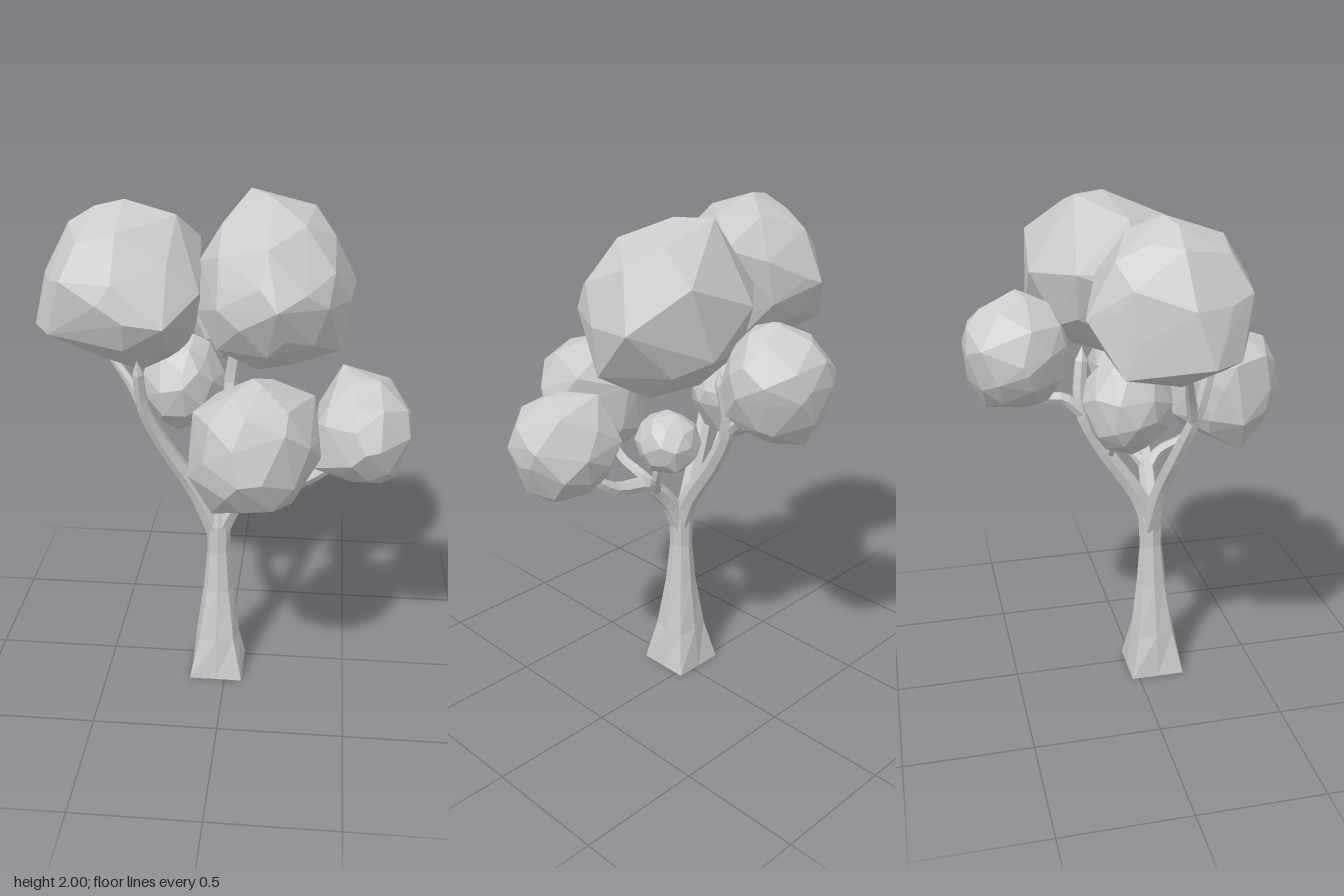
import * as THREE from 'three';
import { ConvexGeometry } from 'three/addons/geometries/ConvexGeometry.js';

const material = new THREE.MeshStandardMaterial({ color: 0xcccccc, flatShading: true });

function seeded(seed) {
  let s = seed;
  return () => (s = (s * 16807) % 2147483647) / 2147483647;
}

function addMesh(parent, name, geometry) {
  const flat = geometry.index ? geometry.toNonIndexed() : geometry;
  flat.computeVertexNormals();
  const mesh = new THREE.Mesh(flat, material);
  mesh.name = name;
  parent.add(mesh);
}

// Faceted leaf clump: hull of a jittered ellipsoid and a few jutting corners
function clumpGeometry(center, half, seed, corners) {
  const rand = seeded(seed * 7919 + 13);
  const pos = new THREE.IcosahedronGeometry(1, 1).getAttribute('position');
  const unique = new Map();
  for (let i = 0; i < pos.count; i++) {
    const p = new THREE.Vector3().fromBufferAttribute(pos, i);
    unique.set(p.toArray().map((v) => Math.round(v * 100)).join(), p);
  }
  const spin = new THREE.Euler(rand() * 6, rand() * 6, rand() * 6);
  const points = [...unique.values()].map((p) => {
    const jitter = new THREE.Vector3(rand() - 0.5, rand() - 0.5, rand() - 0.5);
    return p.addScaledVector(jitter, 0.35).normalize()
      .multiplyScalar(0.96 + 0.08 * rand()).applyEuler(spin);
  });
  const box = new THREE.Box3().setFromPoints(points);
  const mid = box.getCenter(new THREE.Vector3());
  const fit = new THREE.Vector3(...half).multiplyScalar(2).divide(box.getSize(new THREE.Vector3()));
  for (const p of points) p.sub(mid).multiply(fit).add(new THREE.Vector3(...center));
  return new ConvexGeometry([...points, ...corners.map((c) => new THREE.Vector3(...c))]);
}

// Six-sided limb that tapers along a smooth path and closes at its tip
function limbGeometry(points, r0, r1) {
  const curve = new THREE.CatmullRomCurve3(points.map((p) => new THREE.Vector3(...p)));
  const steps = points.length * 3, sides = 6;
  const geometry = new THREE.TubeGeometry(curve, steps, 1, sides, false);
  const pos = geometry.getAttribute('position');
  const v = new THREE.Vector3();
  for (let i = 0; i <= steps; i++) {
    const c = curve.getPointAt(i / steps);
    const r = i === steps ? 0 : THREE.MathUtils.lerp(r0, r1, i / steps);
    for (let j = 0; j <= sides; j++) {
      const k = i * (sides + 1) + j;
      v.fromBufferAttribute(pos, k).sub(c).multiplyScalar(r).add(c);
      pos.setXYZ(k, v.x, v.y, v.z);
    }
  }
  return geometry;
}

// Trunk: rings blending from a square foot to an octagonal stem, capped at both ends
function trunkGeometry() {
  // height, centre x, centre z, half-width, squareness
  const rings = [
    [0, -0.037, 0.08, 0, 1], [0, -0.037, 0.08, 0.109, 1], [0.18, -0.036, 0.08, 0.09, 0.3],
    [0.4, -0.033, 0.075, 0.062, 0.05], [0.58, -0.032, 0.072, 0.046, 0],
    [0.7, -0.032, 0.07, 0.05, 0], [0.77, -0.032, 0.068, 0.036, 0], [0.77, -0.032, 0.068, 0, 0],
  ];
  const sides = 8, vertices = [], faces = [];
  rings.forEach(([y, cx, cz, half, square], i) => {
    for (let j = 0; j < sides; j++) {
      const a = (j / sides) * Math.PI * 2;
      const r = half * (j % 2 ? THREE.MathUtils.lerp(1, Math.SQRT2, square) : 1);
      vertices.push(cx + r * Math.sin(a), y, cz + r * Math.cos(a));
      if (i === 0) continue;
      const n = (j + 1) % sides, lo = (i - 1) * sides, hi = i * sides;
      faces.push(lo + j, lo + n, hi + n, lo + j, hi + n, hi + j);
    }
  });
  const geometry = new THREE.BufferGeometry();
  geometry.setAttribute('position', new THREE.Float32BufferAttribute(vertices, 3));
  geometry.setIndex(faces);
  return geometry;
}

export function createModel() {
  const tree = new THREE.Group();
  tree.name = 'tree';
  addMesh(tree, 'trunk', trunkGeometry());

  // Branches: name, path, start radius, end radius
  const branches = new THREE.Group();
  branches.name = 'branches';
  tree.add(branches);
  const limb = (name, path, r0, r1) => addMesh(branches, name, limbGeometry(path, r0, r1));
  limb('rightLimb', [[-0.04, 0.66, 0.07], [-0.12, 0.86, 0.09], [-0.23, 1.06, 0.13], [-0.305, 1.25, 0.18], [-0.315, 1.46, 0.23]], 0.042, 0.021);
  limb('rightTwig', [[-0.29, 1.2, 0.17], [-0.35, 1.32, 0.14], [-0.45, 1.45, 0.1]], 0.024, 0.014);
  limb('backLimb', [[-0.03, 0.66, 0.07], [-0.025, 0.8, 0.02], [-0.02, 1.03, -0.13], [-0.01, 1.19, -0.205], [0.03, 1.43, -0.19]], 0.042, 0.025);
  limb('backTwig', [[-0.015, 1.17, -0.195], [-0.01, 1.235, -0.27], [0, 1.25, -0.36], [0, 1.38, -0.45]], 0.028, 0.016);
  limb('smallRightTwig', [[-0.02, 0.98, -0.1], [-0.08, 1.07, -0.09], [-0.18, 1.2, -0.06]], 0.022, 0.012);
  limb('leftLimb', [[-0.03, 0.66, 0.07], [0.03, 0.79, 0.08], [0.14, 0.9, 0.09], [0.29, 0.93, 0.11], [0.41, 1.02, 0.14], [0.5, 1.12, 0.15]], 0.042, 0.018);
  limb('frontTwig', [[0.08, 0.85, 0.08], [0.12, 0.92, 0.14], [0.13, 0.97, 0.25], [0.13, 1.1, 0.36]], 0.026, 0.014);
  limb('smallLeftTwig', [[0.1, 0.87, 0.08], [0.16, 0.95, 0.02], [0.18, 1.12, -0.05]], 0.024, 0.012);

  // Leaf clumps: name, centre, half-sizes, seed, jutting corners
  const foliage = new THREE.Group();
  foliage.name = 'foliage';
  tree.add(foliage);
  const clump = (name, center, half, seed, corners = []) =>
    addMesh(foliage, name, clumpGeometry(center, half, seed, corners));
  clump('largeRightClump', [-0.39, 1.695, 0.05], [0.285, 0.285, 0.295], 1, [
    [-0.085, 1.71, 0.2], [-0.13, 1.5, -0.03], [-0.175, 1.4, -0.04], [-0.31, 1.4, 0.17], [-0.71, 1.55, 0.12],
    [-0.64, 1.55, 0.23], [-0.6, 1.5, -0.16], [-0.375, 2, 0.02], [-0.185, 1.95, 0.03], [-0.11, 1.84, -0.09],
    [-0.335, 1.64, 0.36], [-0.2, 1.62, 0.345], [-0.47, 1.68, -0.265],
  ]);
  clump('largeLeftClump', [0.165, 1.67, -0.04], [0.29, 0.29, 0.31], 2, [
    [0.48, 1.66, -0.18], [0.2, 1.68, 0.305], [0.315, 1.94, -0.2], [0.43, 1.45, 0.03], [0.07, 2, -0.2],
    [0.15, 2, -0.08], [0.34, 1.83, -0.355], [0.25, 1.56, -0.375], [0.06, 1.72, -0.38], [-0.14, 1.68, -0.07],
    [-0.11, 1.74, -0.23], [-0.03, 1.48, 0.15], [0.285, 1.36, -0.08], [0, 1.72, 0.21],
  ]);
  clump('frontClump', [0.13, 1.21, 0.4], [0.23, 0.24, 0.23], 3, [
    [0.09, 1.17, 0.645], [0.34, 1.36, 0.26], [0.37, 1.18, 0.4], [0.28, 0.97, 0.28], [-0.02, 0.96, 0.45],
    [-0.11, 1.1, 0.43], [-0.09, 1.34, 0.4], [0.12, 1.46, 0.36], [0.2, 1.31, 0.56],
  ]);
  clump('leftClump', [0.52, 1.18, 0.145], [0.185, 0.205, 0.215], 4, [
    [0.44, 1.39, 0.02], [0.62, 1.34, 0.02], [0.53, 1.18, 0.375], [0.34, 1.06, 0.25], [0.705, 1.22, 0.06],
    [0.65, 1.01, 0.2], [0.4, 1.22, -0.06], [0.54, 0.97, 0.11],
  ]);
  clump('backClump', [0, 1.445, -0.445], [0.205, 0.22, 0.2], 5, [
    [0.205, 1.5, -0.56], [-0.205, 1.4, -0.43], [-0.02, 1.23, -0.57], [0.02, 1.67, -0.44], [-0.1, 1.5, -0.61],
  ]);
  clump('smallRightClump', [-0.185, 1.26, -0.06], [0.165, 0.19, 0.175], 6);
  clump('smallLeftClump', [0.165, 1.14, -0.06], [0.12, 0.12, 0.125], 7);
  return tree;
}
